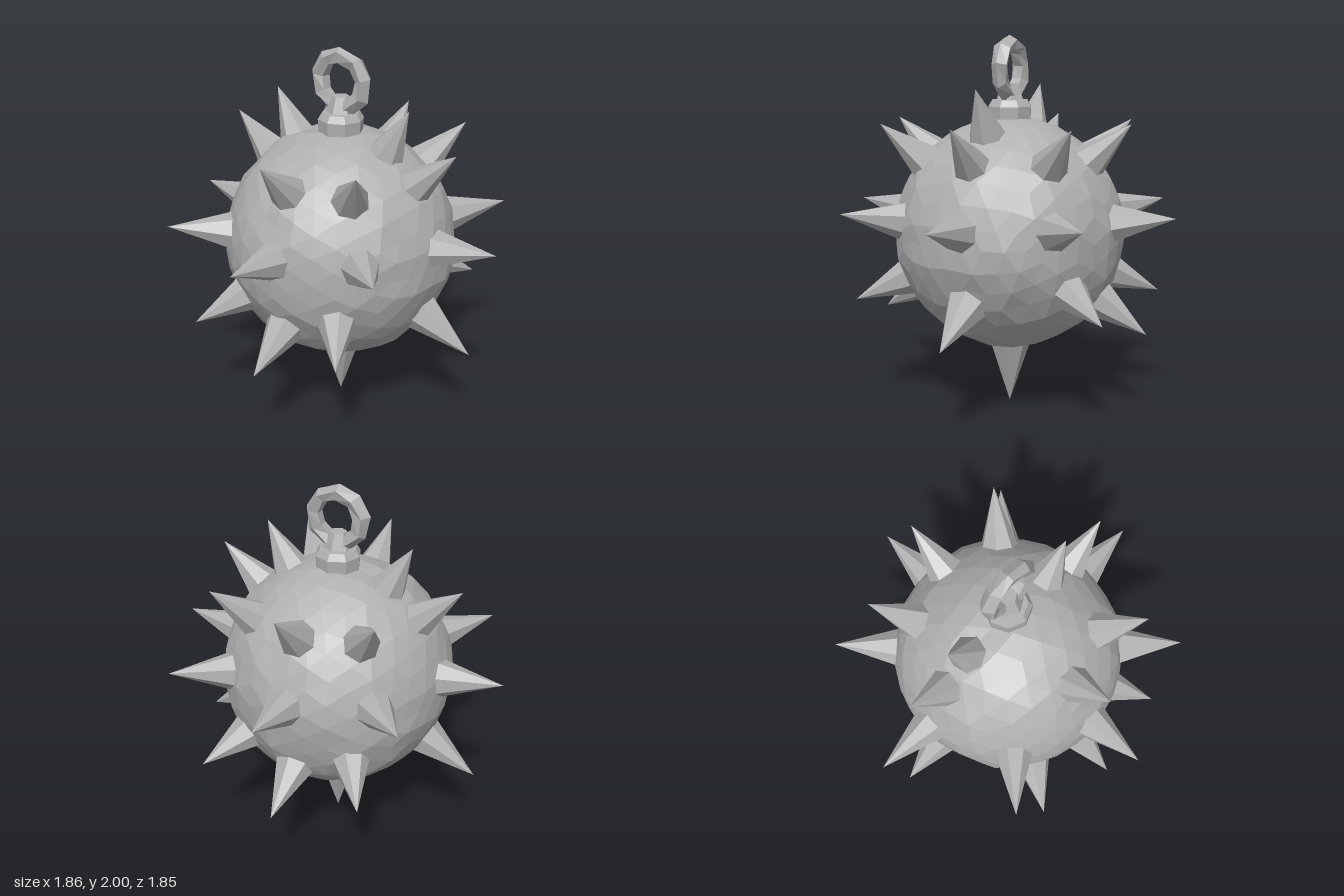
import * as THREE from 'three';

const CENTRE = new THREE.Vector3(0, 0.95, 0);
const UP = new THREE.Vector3(0, 1, 0);

// Repeatable value in -1..1 for a position, so shared corners move together
function hash(x, y, z) {
  const q = (v) => Math.round(v * 1000);
  const s = Math.sin(q(x) * 12.9898 + q(y) * 78.233 + q(z) * 37.719) * 43758.5453;
  return (s - Math.floor(s)) * 2 - 1;
}

// Shifts every corner a little for a hand-hammered look
function roughen(geometry, amount) {
  const p = geometry.attributes.position;
  for (let i = 0; i < p.count; i++) {
    const x = p.getX(i), y = p.getY(i), z = p.getZ(i);
    p.setXYZ(i,
      x + amount * hash(x, y, z),
      y + amount * hash(y + 1, z, x),
      z + amount * hash(z, x + 2, y));
  }
  geometry.computeVertexNormals();
  return geometry;
}

export function createModel() {
  const group = new THREE.Group();
  const iron = new THREE.MeshStandardMaterial({ color: 0xb0b0b0, flatShading: true });
  iron.name = 'iron';

  const add = (name, geometry, y = 0) => {
    const mesh = new THREE.Mesh(geometry, iron);
    mesh.name = name;
    mesh.position.y = y;
    group.add(mesh);
    return mesh;
  };

  // Faceted ball
  add('ball', roughen(new THREE.IcosahedronGeometry(0.62, 5), 0.008), CENTRE.y);

  // Spike pointing straight out of the ball, ending at the given tip
  const spikeBase = 0.565;
  const addSpike = (x, y, z, radius = 0.112) => {
    const dir = new THREE.Vector3(x, y, z).sub(CENTRE);
    const length = dir.length() - spikeBase;
    dir.normalize();
    const cone = new THREE.ConeGeometry(radius, length, 7);
    cone.translate(0, spikeBase + length / 2, 0);
    const spike = add('spike', cone, CENTRE.y);
    spike.quaternion.setFromUnitVectors(UP, dir);
  };

  addSpike(0, 0, 0, 0.13);
  for (const s of [-1, 1]) {
    // Middle, lower and upper spikes on the four main sides
    addSpike(0.93 * s, 1.08, 0);
    addSpike(0, 1.08, 0.925 * s);
    addSpike(0.81 * s, 0.48, 0, 0.12);
    addSpike(0, 0.46, 0.78 * s, 0.12);
    addSpike(0.685 * s, 1.55, 0);
    addSpike(0, 1.55, 0.68 * s);
    // Steep pair beside the collar
    addSpike(0.41 * s, 1.73, 0);
    // Diagonal spikes; the upper front corner on the right side has none
    for (const t of [-1, 1]) {
      addSpike(0.64 * s, 1.09, 0.665 * t);
      addSpike(0.45 * s, 0.6, 0.7 * t);
      if (s > 0 || t < 0) addSpike(0.45 * s, 1.545, 0.53 * t);
    }
  }

  // Chamfered collar on top of the ball
  const collar = [[0, 1.5], [0.115, 1.5], [0.122, 1.625], [0.1, 1.66], [0, 1.665]]
    .map(([r, y]) => new THREE.Vector2(r, y));
  add('collar', new THREE.LatheGeometry(collar, 8));

  // Small knob inside the ring
  add('knob', new THREE.CylinderGeometry(0.045, 0.085, 0.1, 6), 1.695);

  // Hanging ring
  const ring = new THREE.TorusGeometry(0.136, 0.045, 5, 9);
  ring.rotateZ(Math.PI / 2);
  add('hangingRing', roughen(ring, 0.007), 1.823);

  return group;
}
